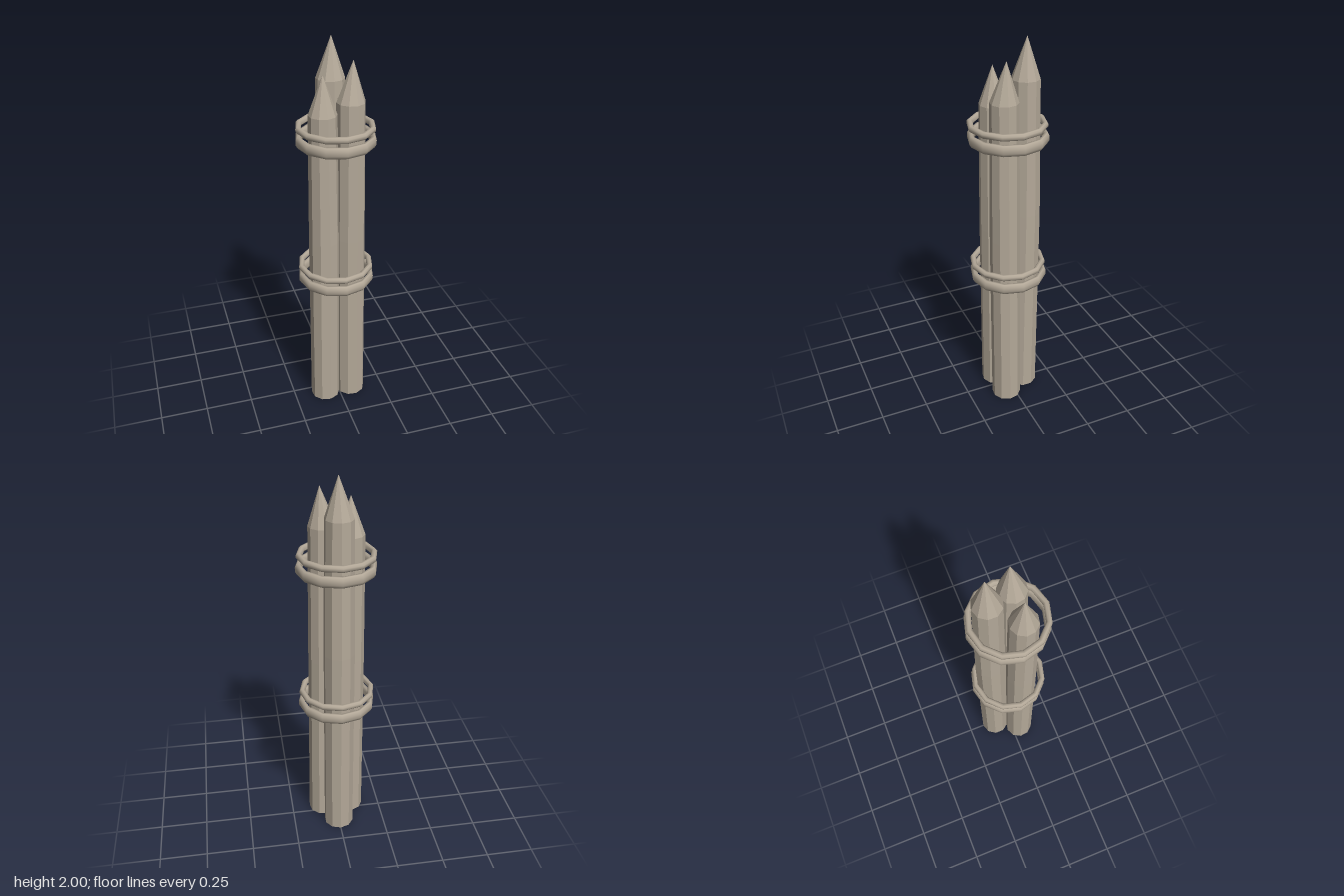
import * as THREE from 'three';

// Sharpened stake: sections are [x, y, z, radius] from the tip down to the base.
function stakeGeometry(sections, turn) {
  const indexed = new THREE.CylinderGeometry(1, 1, 3, 10, 3);
  indexed.rotateY(turn);
  const geometry = indexed.toNonIndexed();
  const p = geometry.attributes.position;
  for (let i = 0; i < p.count; i++) {
    const row = Math.round(1.5 - p.getY(i));
    const [x, y, z, r] = sections[row];
    p.setXYZ(i, x + p.getX(i) * r, y, z + p.getZ(i) * r);
  }
  geometry.computeVertexNormals(); // separate triangles give flat facets
  return geometry;
}

// Twelve-sided hoop with a rounded cross-section.
function hoopGeometry(outer, halfWidth, halfHeight) {
  const points = [];
  const k = 1 / Math.cos(Math.PI / 8);
  for (let i = 0; i <= 8; i++) {
    const a = Math.PI + (i + 0.5) * Math.PI / 4;
    points.push(new THREE.Vector2(
      outer - halfWidth + Math.cos(a) * halfWidth * k,
      Math.sin(a) * halfHeight * k
    ));
  }
  return new THREE.LatheGeometry(points, 12);
}

export function createModel() {
  const group = new THREE.Group();
  const wood = new THREE.MeshStandardMaterial({ color: 0xb3a898 });
  wood.name = 'weathered wood';

  const add = (name, geometry, x = 0, y = 0, z = 0) => {
    const mesh = new THREE.Mesh(geometry, wood);
    mesh.name = name;
    mesh.position.set(x, y, z);
    group.add(mesh);
  };

  // Three stakes of different heights, leaning slightly
  add('backStake', stakeGeometry([
    [0.005, 2.0, -0.094, 0.0005],
    [0.0, 1.8, -0.091, 0.071],
    [0.0, 1.1, -0.093, 0.079],
    [0.0, 0, -0.086, 0.08],
  ], 0));
  add('rightStake', stakeGeometry([
    [-0.077, 1.86, 0.046, 0.0005],
    [-0.078, 1.67, 0.045, 0.07],
    [-0.075, 1.0, 0.045, 0.078],
    [-0.076, 0, 0.046, 0.079],
  ], 0.12));
  add('leftStake', stakeGeometry([
    [0.072, 1.915, 0.04, 0.0005],
    [0.06, 1.72, 0.046, 0.07],
    [0.062, 1.0, 0.045, 0.077],
    [0.071, 0, 0.043, 0.079],
  ], 0.2));

  // Two pairs of binding hoops: a broad one with a thin one above it
  const broad = hoopGeometry(0.2, 0.015, 0.027);
  const thin = hoopGeometry(0.197, 0.014, 0.0155);
  [['lower', 0.763], ['upper', 1.525]].forEach(([label, y]) => {
    add(label + 'BroadHoop', broad, 0, y, 0);
    add(label + 'ThinHoop', thin, -0.003, y + 0.064, 0.003);
  });

  return group;
}
